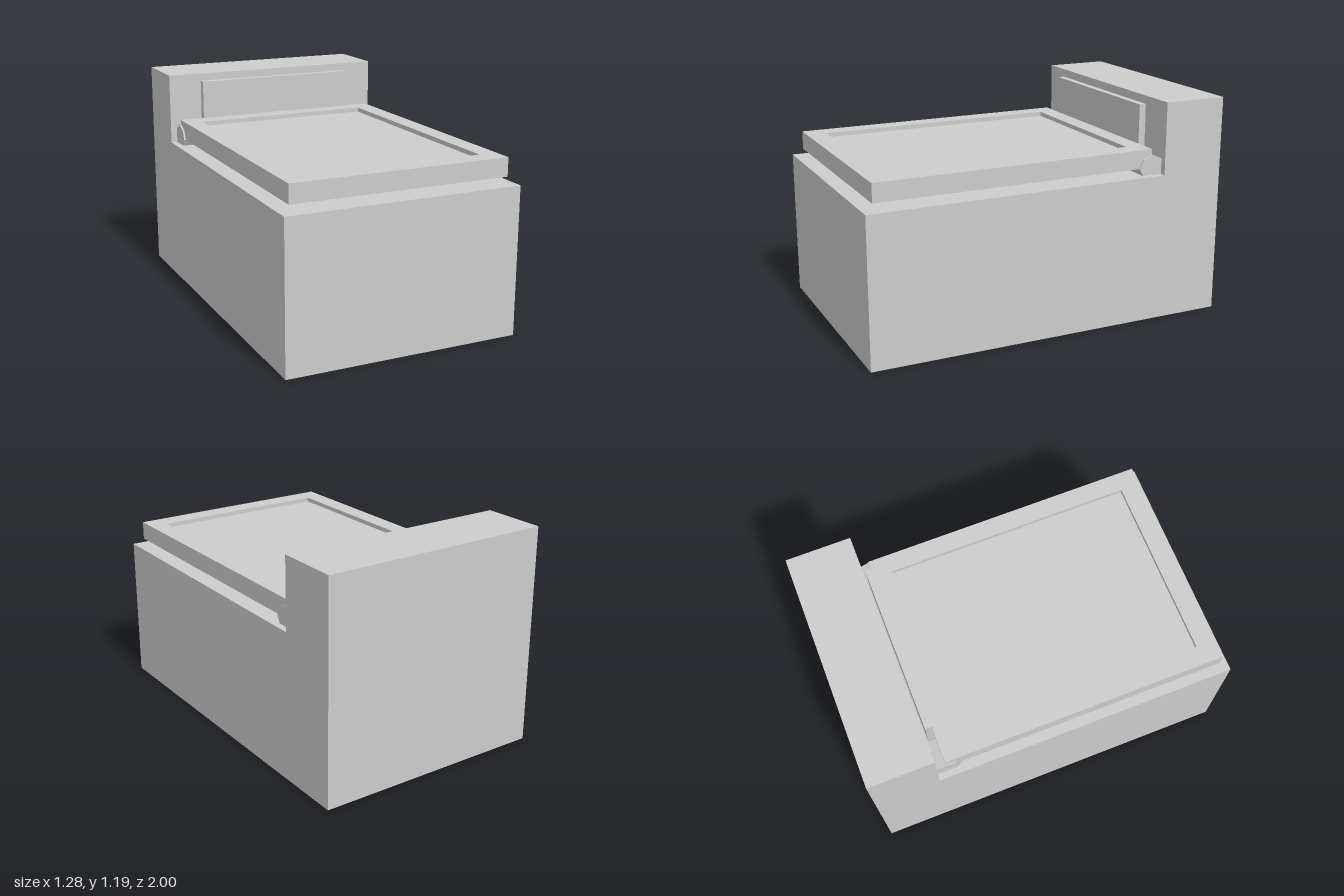
import * as THREE from 'three';

const grey = new THREE.MeshStandardMaterial({ color: 0xcccccc });
grey.name = 'plain grey';

function add(group, name, geometry) {
  const mesh = new THREE.Mesh(geometry, grey);
  mesh.name = name;
  group.add(mesh);
}

// Box given by its lower and upper corners
function boxBetween([x0, y0, z0], [x1, y1, z1]) {
  return new THREE.BoxGeometry(x1 - x0, y1 - y0, z1 - z0)
    .translate((x0 + x1) / 2, (y0 + y1) / 2, (z0 + z1) / 2);
}

// Side profile of [z, y] points, extruded across x and centred
function extrudeProfile(points, halfWidth) {
  const shape = new THREE.Shape(points.map(([z, y]) => new THREE.Vector2(-z, y)));
  return new THREE.ExtrudeGeometry(shape, { depth: 2 * halfWidth, bevelEnabled: false })
    .translate(0, 0, -halfWidth)
    .rotateY(Math.PI / 2);
}

// Rectangle outline in x and -z, for shapes laid flat
function rectangle(halfWidth, zBack, zFront) {
  return [[-halfWidth, -zFront], [halfWidth, -zFront], [halfWidth, -zBack], [-halfWidth, -zBack]]
    .map(([x, y]) => new THREE.Vector2(x, y));
}

export function createModel() {
  const model = new THREE.Group();
  model.name = 'flatbed machine';

  // Body with raised block at the back
  add(model, 'body', extrudeProfile(
    [[1, 0], [1, 0.8], [-0.65, 0.8], [-0.65, 1.19], [-1, 1.19], [-1, 0]], 0.64));

  // Faceted hinge bar between body and lid
  add(model, 'hinge', extrudeProfile(
    [[-0.54, 0.8], [-0.52, 0.837], [-0.543, 0.888], [-0.595, 0.91], [-0.65, 0.885], [-0.65, 0.8]], 0.605));

  // Floating lid: raised rim around a shallow recessed panel
  const lid = new THREE.Group();
  lid.name = 'lid';
  const rim = new THREE.Shape(rectangle(0.595, -0.597, 0.95));
  rim.holes.push(new THREE.Path(rectangle(0.495, -0.5, 0.843).reverse()));
  add(lid, 'lidRim', new THREE.ExtrudeGeometry(rim, { depth: 0.1, bevelEnabled: false })
    .rotateX(-Math.PI / 2)
    .translate(0, 0.838, 0));
  add(lid, 'lidPanel', boxBetween([-0.495, 0.838, -0.5], [0.495, 0.914, 0.843]));
  model.add(lid);

  // Upright plate in front of the back block
  add(model, 'backPlate', boxBetween([-0.456, 0.91, -0.637], [0.456, 1.15, -0.599]));

  return model;
}
